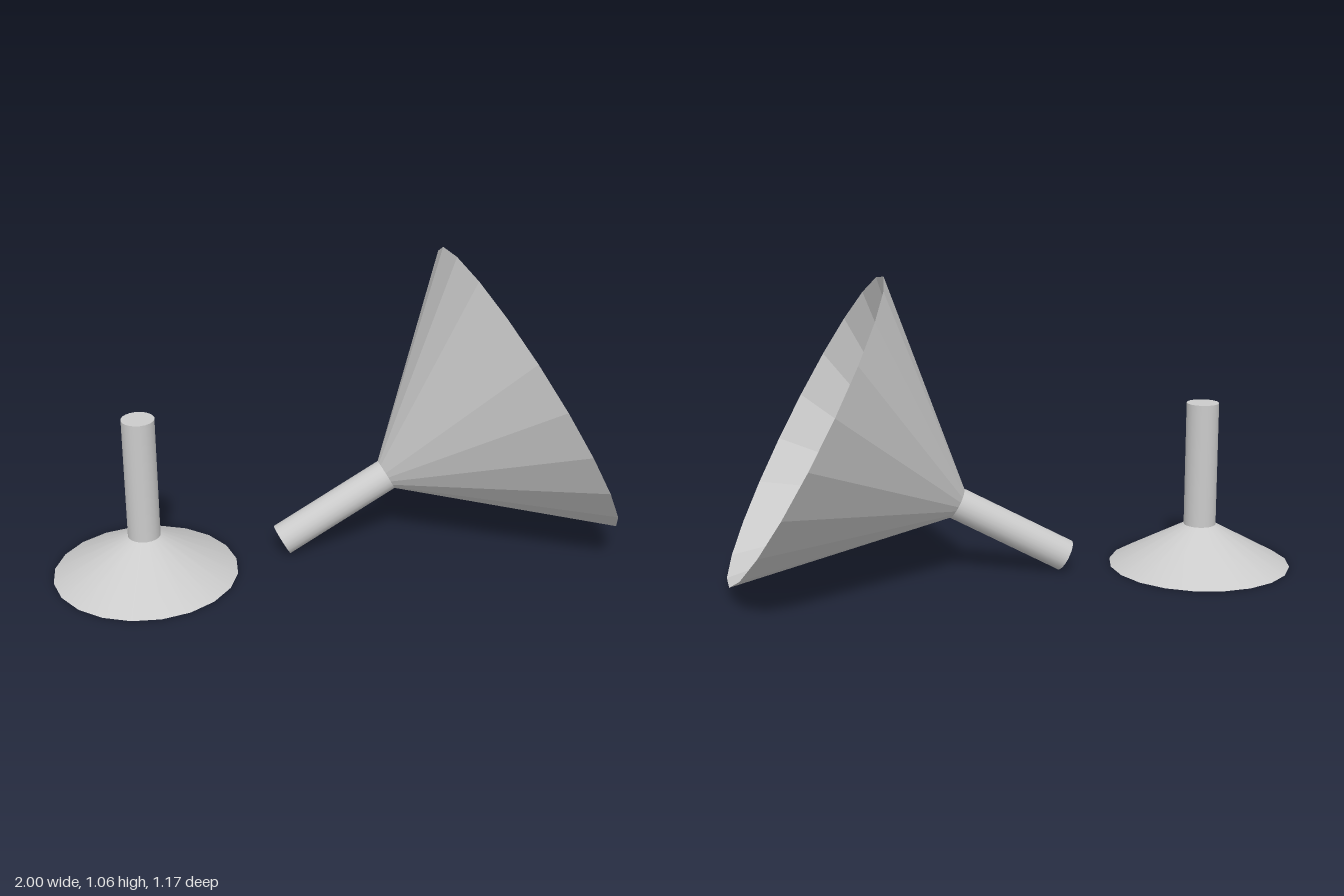
import * as THREE from 'three';

const SIDES = 20;
const STEM_R = 0.057;

function mesh(name, geometry, options = {}) {
  const m = new THREE.Mesh(geometry, new THREE.MeshStandardMaterial({ color: 0xcccccc, ...options }));
  m.name = name;
  return m;
}

// Straight stem whose lower end sits at y = bottom
function stem(name, bottom, length) {
  const m = mesh(name, new THREE.CylinderGeometry(STEM_R, STEM_R, length, SIDES));
  m.position.y = bottom + length / 2;
  return m;
}

export function createModel() {
  const model = new THREE.Group();
  model.name = 'dishAndStand';

  // Stand: flared foot with an upright post
  const stand = new THREE.Group();
  stand.name = 'stand';
  stand.position.x = -0.677;
  const foot = mesh('foot', new THREE.CylinderGeometry(STEM_R, 0.323, 0.147, SIDES));
  foot.position.y = 0.0735;
  stand.add(foot, stem('post', 0.147, 0.443));

  // Dish: modelled along y from the end of its stem, then tilted towards +x
  const dish = new THREE.Group();
  dish.name = 'dish';
  dish.position.set(0.199, 0.2605, 0);
  dish.rotation.z = -THREE.MathUtils.degToRad(90 - 28.45);

  // Faceted funnel: outer wall up to a sharp rim, inner wall back down to a small floor
  const profile = [[STEM_R, 0], [0.587, 0.591], [0.03, 0.06], [0, 0.06]]
    .map(([r, y]) => new THREE.Vector2(r, y));
  const funnel = mesh('funnel', new THREE.LatheGeometry(profile, SIDES), { flatShading: true });
  dish.add(funnel, stem('dishStem', -0.438, 0.438));

  model.add(stand, dish);
  return model;
}
